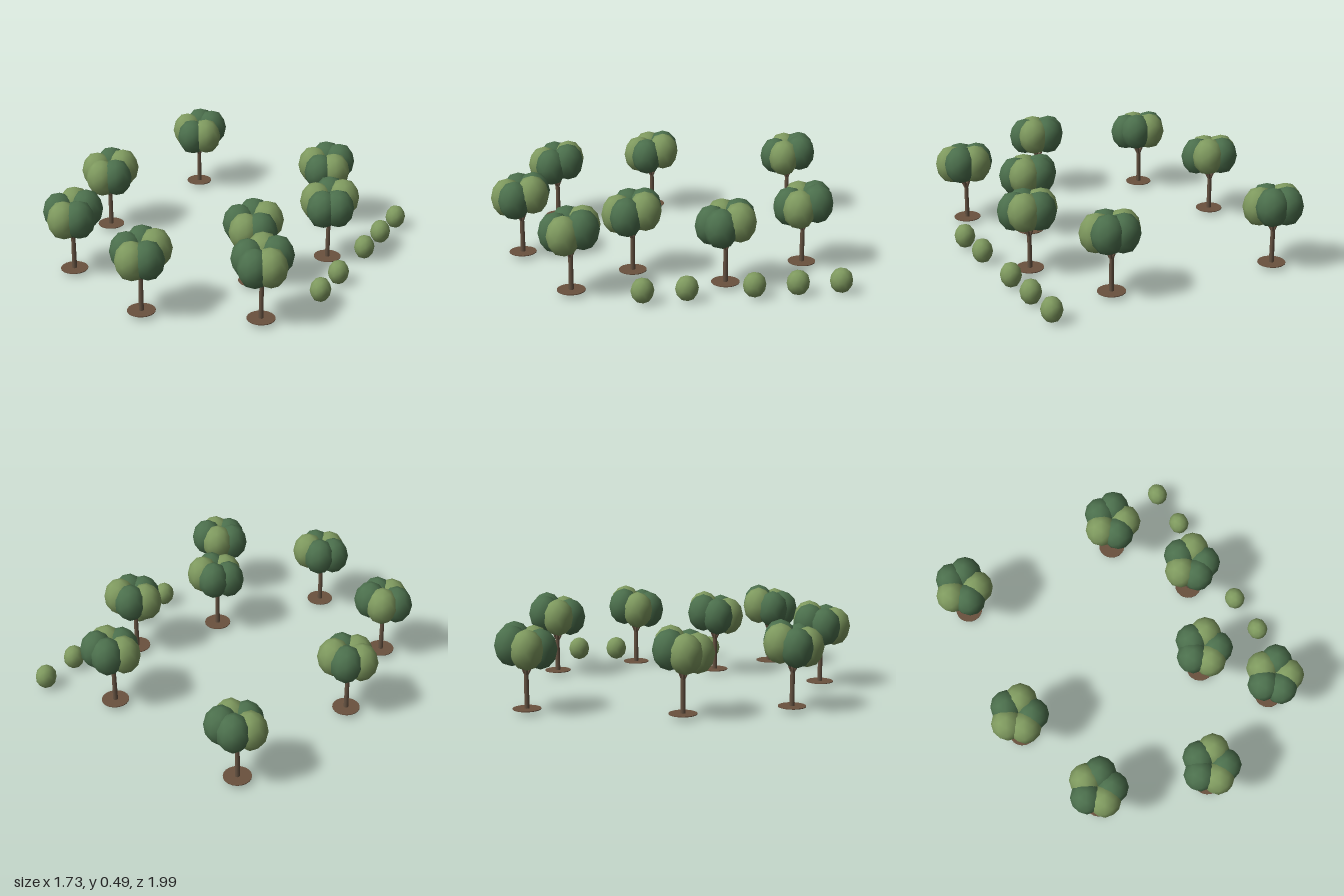
import * as THREE from 'three';

const mat = (name, color) => {
  const m = new THREE.MeshStandardMaterial({ color });
  m.name = name;
  return m;
};

function add(parent, name, geometry, material, x, y, z) {
  const mesh = new THREE.Mesh(geometry, material);
  mesh.name = name;
  mesh.position.set(x, y, z);
  parent.add(mesh);
  return mesh;
}

export function createModel() {
  const light = mat('light leaf green', 0x7f9a5f);
  const dark = mat('dark leaf green', 0x4c704d);
  const bark = mat('bark brown', 0x665342);
  const soil = mat('soil brown', 0x6a513e);

  const group = new THREE.Group();
  group.name = 'grove';

  const ball = new THREE.IcosahedronGeometry(1, 1);
  const trunkGeo = new THREE.CylinderGeometry(0.012, 0.014, 0.225, 8);
  const soilGeo = new THREE.CylinderGeometry(0.077, 0.077, 0.004, 20);
  const up = new THREE.Vector3(0, 1, 0);
  const fork = new THREE.Vector3(0, 0.2, 0);

  // crown clump centres, clockwise from the back left side
  const clumps = [
    [0.056, 0.38, -0.062],
    [0.07, 0.355, 0.038],
    [-0.004, 0.35, 0.077],
    [-0.077, 0.36, 0.01],
    [-0.03, 0.375, -0.072],
  ];

  // trees: x, z and the colour of each clump (L light, D dark)
  const trees = [
    [-0.555, -0.83, 'DLDLD'],
    [0.39, -0.71, 'DLDLD'],
    [0.63, -0.235, 'LDDLD'],
    [-0.695, 0, 'LDLLD'],
    [0.39, 0.24, 'LDLDD'],
    [-0.555, 0.595, 'DDLDL'],
    [0.035, 0.83, 'LDLDD'],
    [0.63, 0.595, 'DLDDL'],
  ];

  for (const [x, z, shades] of trees) {
    const tree = new THREE.Group();
    tree.name = 'tree';
    tree.position.set(x, 0, z);
    group.add(tree);

    add(tree, 'soilDisc', soilGeo, soil, 0, 0.024, 0);
    add(tree, 'trunk', trunkGeo, bark, 0, 0.128, 0);

    clumps.forEach(([cx, cy, cz], i) => {
      const material = shades[i] === 'L' ? light : dark;
      add(tree, 'leafClump', ball, material, cx, cy, cz).scale.set(0.092, 0.112, 0.092);

      // branch from the fork into the clump
      const dir = new THREE.Vector3(cx, cy, cz).sub(fork);
      const len = dir.length();
      const mid = fork.clone().addScaledVector(dir, 0.5);
      const geo = new THREE.CylinderGeometry(0.004, 0.007, len, 6);
      const branch = add(tree, 'branch', geo, bark, mid.x, mid.y, mid.z);
      branch.quaternion.setFromUnitVectors(up, dir.normalize());
    });
  }

  // row of shrubs along the left side
  for (const z of [-0.83, -0.595, -0.36, 0, 0.235]) {
    add(group, 'shrub', ball, light, 0.805, 0.071, z).scale.set(0.058, 0.071, 0.063);
  }

  return group;
}
